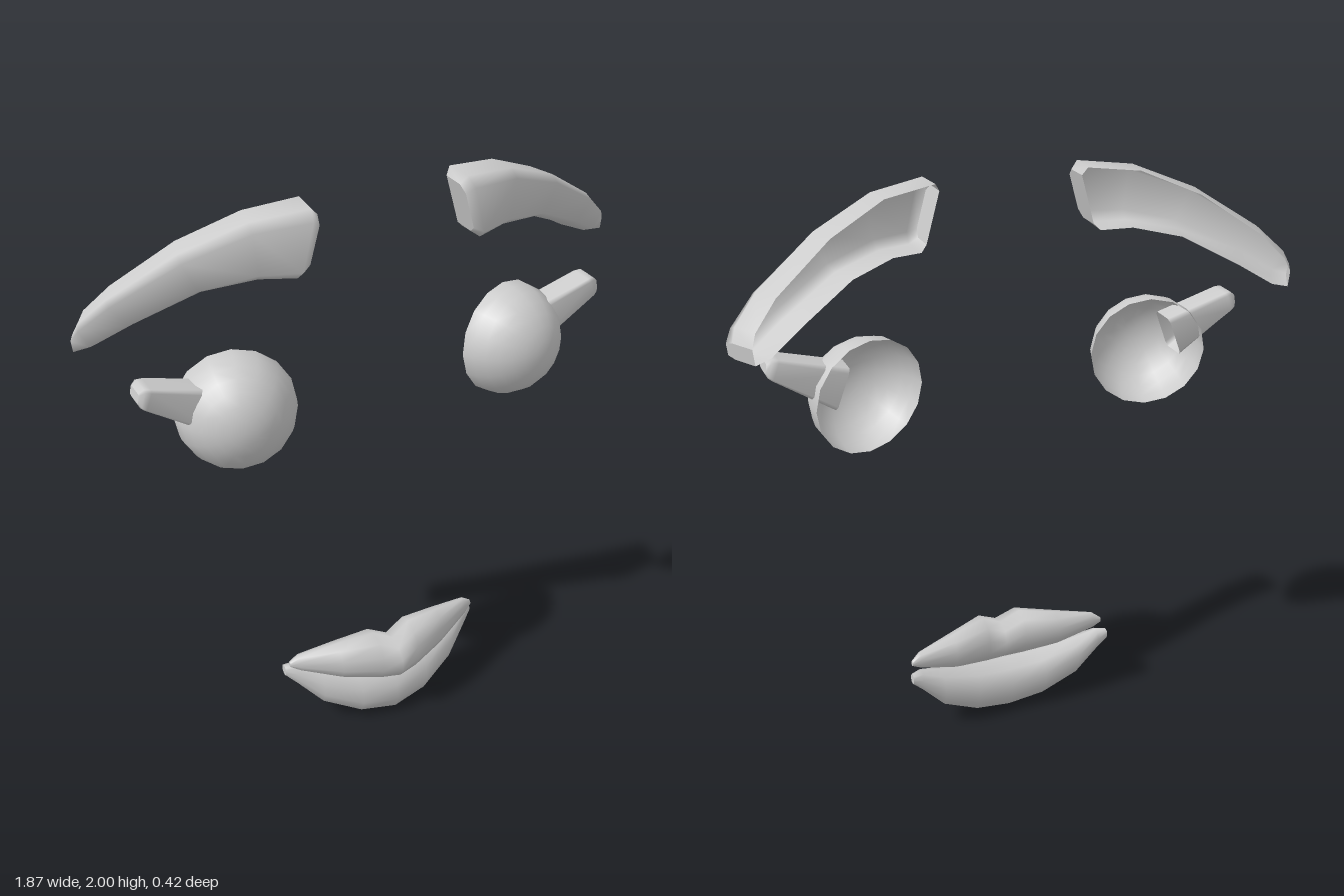
import * as THREE from 'three';

const V = (x, y, z) => new THREE.Vector3(x, y, z);
const lerp = THREE.MathUtils.lerp;

// Skin rings (ordered from top to front to bottom) that advance along +x.
// side = -1 mirrors the part; caps get their own corners to stay crisp.
function loft(name, rings, { closed = true, capStart = true, capEnd = true, side = 1 } = {}) {
  const pos = [], idx = [], n = rings[0].length;
  const tri = (a, b, c) => (side > 0 ? idx.push(a, b, c) : idx.push(a, c, b));
  const add = (p) => pos.push(p.x * side, p.y, p.z) / 3 - 1;
  rings.forEach((r) => r.forEach(add));
  for (let i = 0; i < rings.length - 1; i++) {
    for (let j = 0; j < (closed ? n : n - 1); j++) {
      const a = i * n + j, b = i * n + ((j + 1) % n);
      tri(a, b, a + n);
      tri(b, b + n, a + n);
    }
  }
  const cap = (ring, end) => {
    const ids = ring.map(add);
    for (let j = 1; j < n - 1; j++) {
      if (end) tri(ids[0], ids[j], ids[j + 1]);
      else tri(ids[0], ids[j + 1], ids[j]);
    }
  };
  if (capStart) cap(rings[0], false);
  if (capEnd) cap(rings[rings.length - 1], true);
  const geo = new THREE.BufferGeometry();
  geo.setAttribute('position', new THREE.Float32BufferAttribute(pos, 3));
  geo.setIndex(idx);
  geo.computeVertexNormals();
  return part(name, geo);
}

function part(name, geo) {
  const mesh = new THREE.Mesh(geo, new THREE.MeshStandardMaterial({ color: 0xcccccc, side: THREE.DoubleSide }));
  mesh.name = name;
  return mesh;
}

// Eyebrow: bevelled arched shell, open at the back
function eyebrow(side) {
  // top x, top y, bottom x, bottom y, front z, depth, backward lean
  const stations = [
    [0.235, 1.975, 0.28, 1.815, 0.115, 0.105, 0.0],
    [0.26, 2.0, 0.31, 1.795, 0.13, 0.13, 0.01],
    [0.44, 1.98, 0.42, 1.80, 0.09, 0.12, 0.02],
    [0.64, 1.90, 0.58, 1.77, 0.03, 0.12, 0.035],
    [0.84, 1.77, 0.77, 1.675, -0.05, 0.11, 0.05],
    [0.92, 1.69, 0.88, 1.61, -0.1, 0.1, 0.055],
    [0.935, 1.65, 0.93, 1.6, -0.12, 0.095, 0.055],
  ];
  // [height fraction from the top, depth fraction]
  const section = [[0, 1], [0, 0.25], [0.14, 0], [0.86, 0], [1, 0.25], [1, 1]];
  const rings = stations.map(([xt, yt, xb, yb, z, depth, lean]) =>
    section.map(([h, d]) => V(lerp(xt, xb, h) - lean * d, lerp(yt, yb, h), z - depth * d)));
  return loft('eyebrow', rings, { closed: false, side });
}

// Eyeball: open half sphere turned slightly outward and up
function eyeball(side) {
  const geo = new THREE.SphereGeometry(0.193, 16, 7, 0, Math.PI * 2, 0, Math.PI / 2);
  geo.rotateX(Math.PI / 2 - 0.08);
  geo.rotateY(side * 0.26);
  geo.translate(side * 0.485, 1.355, -0.008);
  return part('eyeball', geo);
}

// Eyelash: tapered wedge rising outward, open inside the eyeball
function eyelash(side) {
  // top x, top y, bottom x, bottom y, back z, front z
  const stations = [
    [0.55, 1.467, 0.60, 1.335, -0.03, 0.07],
    [0.765, 1.527, 0.79, 1.463, -0.03, 0.07],
    [0.785, 1.53, 0.802, 1.473, -0.025, 0.065],
    [0.802, 1.517, 0.808, 1.487, -0.015, 0.055],
  ];
  const section = [[0, 0.12], [0, 0.88], [0.1, 1], [0.9, 1], [1, 0.88], [1, 0.12], [0.9, 0], [0.1, 0]];
  const rings = stations.map(([xt, yt, xb, yb, zb, zf]) =>
    section.map(([h, d]) => V(lerp(xt, xb, h), lerp(yt, yb, h), lerp(zb, zf, d))));
  return loft('eyelash', rings, { capStart: false, side });
}

// Lip: rounded cross-sections mirrored about the middle
function lip(name, half, lean) {
  const mirrored = half.slice(1).reverse().map(([x, ...rest]) => [-x, ...rest]);
  const rings = [...mirrored, ...half].map(([x, top, bottom, front, back]) => {
    const ring = [];
    for (let i = 0; i < 10; i++) {
      const t = (i / 10) * Math.PI * 2, c = Math.cos(t), s = Math.sin(t);
      const y = (top + bottom) / 2 + c * (top - bottom) / 2;
      const z = (front + back) / 2 + Math.sign(s) * Math.abs(s) ** 0.85 * (front - back) / 2;
      ring.push(V(x, y, z + lean * c * (front - back)));
    }
    return ring;
  });
  return loft(name, rings);
}

export function createModel() {
  const model = new THREE.Group();
  model.name = 'face';
  for (const side of [1, -1]) {
    const group = new THREE.Group();
    group.name = side > 0 ? 'leftEye' : 'rightEye';
    group.add(eyebrow(side), eyeball(side), eyelash(side));
    model.add(group);
  }
  // x, top, bottom, front z, back z
  model.add(lip('upperLip', [
    [0, 0.325, 0.185, 0.21, 0.055],
    [0.07, 0.365, 0.188, 0.195, 0.045],
    [0.2, 0.345, 0.21, 0.14, 0.035],
    [0.335, 0.325, 0.26, 0.075, 0.035],
    [0.367, 0.3, 0.28, 0.055, 0.04],
  ], -0.05));
  model.add(lip('lowerLip', [
    [0, 0.2, 0.0, 0.175, 0],
    [0.13, 0.21, 0.022, 0.155, -0.005],
    [0.26, 0.24, 0.09, 0.105, -0.005],
    [0.34, 0.268, 0.185, 0.06, 0],
    [0.377, 0.265, 0.225, 0.035, 0.003],
  ], -0.06));
  return model;
}
